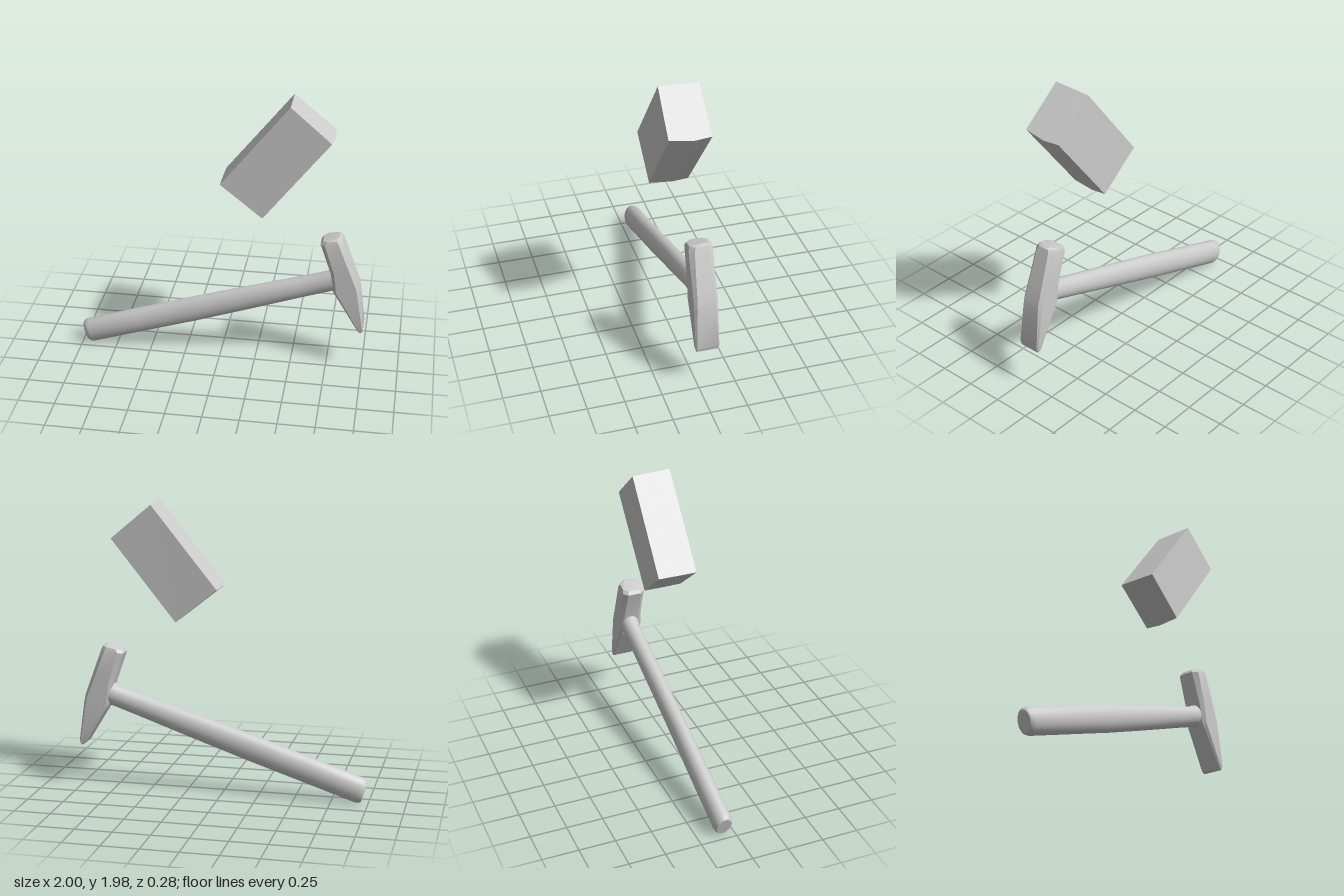
import * as THREE from 'three';
import { toCreasedNormals } from 'three/addons/utils/BufferGeometryUtils.js';

const V = (x, y, z) => new THREE.Vector3(x, y, z);

// Closed skin over a row of rings; flat fans close both ends.
function loft(rings, crease) {
  const n = rings[0].length;
  const last = rings.length - 1;
  const pos = rings.flat().flatMap((p) => [p.x, p.y, p.z]);
  const idx = [];
  for (let r = 0; r < last; r++) {
    for (let i = 0; i < n; i++) {
      const a = r * n + i;
      const b = r * n + ((i + 1) % n);
      idx.push(a, b, b + n, a, b + n, a + n);
    }
  }
  for (let i = 1; i < n - 1; i++) {
    idx.push(0, i + 1, i);
    idx.push(last * n, last * n + i, last * n + i + 1);
  }
  const geo = new THREE.BufferGeometry();
  geo.setAttribute('position', new THREE.Float32BufferAttribute(pos, 3));
  geo.setIndex(idx);
  return toCreasedNormals(geo, crease);
}

// Elliptical rings along the handle axis: [distance, radius in xy, radius in z, z centre]
const TAIL = V(-0.965, 0.088, 0);
const AXIS = V(0.95, 0.312, 0).normalize();
const UP = V(-AXIS.y, AXIS.x, 0);
function shaftRings(rows, sides = 24) {
  return rows.map(([d, ru, rz, zc]) => Array.from({ length: sides }, (_, i) => {
    const t = (i / sides) * Math.PI * 2;
    return TAIL.clone().addScaledVector(AXIS, d)
      .addScaledVector(UP, ru * Math.cos(t))
      .add(V(0, 0, zc + rz * Math.sin(t)));
  }));
}

// Chamfered rectangle between a left and a right point of the head's outline
function headRing([lx, ly, rx, ry, halfZ, c]) {
  const zc = -0.055;
  const mid = V((lx + rx) / 2, (ly + ry) / 2, zc);
  const half = V((rx - lx) / 2, (ry - ly) / 2, 0);
  const k = 1 - c / half.length();
  const corners = [[1, -halfZ + c], [1, halfZ - c], [k, halfZ], [-k, halfZ],
    [-1, halfZ - c], [-1, -halfZ + c], [-k, -halfZ], [k, -halfZ]];
  return corners.map(([u, z]) => mid.clone().addScaledVector(half, u).add(V(0, 0, z)));
}

export function createModel() {
  const group = new THREE.Group();
  const material = new THREE.MeshStandardMaterial({ color: 0xcccccc });
  const add = (name, geometry) => {
    const mesh = new THREE.Mesh(geometry, material);
    mesh.name = name;
    group.add(mesh);
  };

  // Tilted brick, with one long side folded slightly outwards
  add('brick', loft([
    [V(0.475, 1.985, 0.13), V(0.745, 1.755, 0.14), V(0.307, 1.195, 0.14), V(0.025, 1.42, 0.14)],
    [V(0.474, 1.98, -0.015), V(0.758, 1.738, -0.015), V(0.318, 1.187, -0.015), V(0.026, 1.42, -0.015)],
    [V(0.473, 1.975, -0.135), V(0.75, 1.745, -0.135), V(0.312, 1.192, -0.122), V(0.028, 1.42, -0.128)],
  ], 0.05));

  // Oval wooden handle with a rounded butt and a slight flare at the head
  add('handle', loft(shaftRings([
    [-0.008, 0.072, 0.05, -0.078],
    [0.004, 0.084, 0.06, -0.078],
    [0.03, 0.09, 0.066, -0.078],
    [0.4, 0.09, 0.064, -0.075],
    [0.8, 0.091, 0.061, -0.07],
    [1.2, 0.085, 0.059, -0.068],
    [1.6, 0.076, 0.06, -0.066],
    [1.8, 0.073, 0.062, -0.064],
    [1.835, 0.08, 0.067, -0.062],
    [1.88, 0.08, 0.067, -0.062],
  ]), 0.7));

  // Handle end showing through the outer side of the head
  add('handleEnd', loft(shaftRings([
    [1.88, 0.07, 0.045, -0.062],
    [1.985, 0.062, 0.04, -0.062],
    [2.0, 0.035, 0.02, -0.062],
  ], 12), 0.7));

  // Head from the square poll down to the wedge-shaped peen
  add('hammerHead', loft([
    [0.728, 0.992, 0.81, 1.014, 0.055, 0.025],
    [0.7, 0.982, 0.829, 1.006, 0.072, 0.032],
    [0.685, 0.958, 0.842, 0.975, 0.08, 0.032],
    [0.762, 0.74, 0.906, 0.795, 0.08, 0.025],
    [0.785, 0.6, 0.955, 0.66, 0.08, 0.02],
    [0.815, 0.555, 0.966, 0.6, 0.08, 0.018],
    [0.959, 0.322, 1.0, 0.335, 0.08, 0.008],
    [0.968, 0.308, 0.99, 0.304, 0.074, 0.005],
  ].map(headRing), 0.45));

  return group;
}
